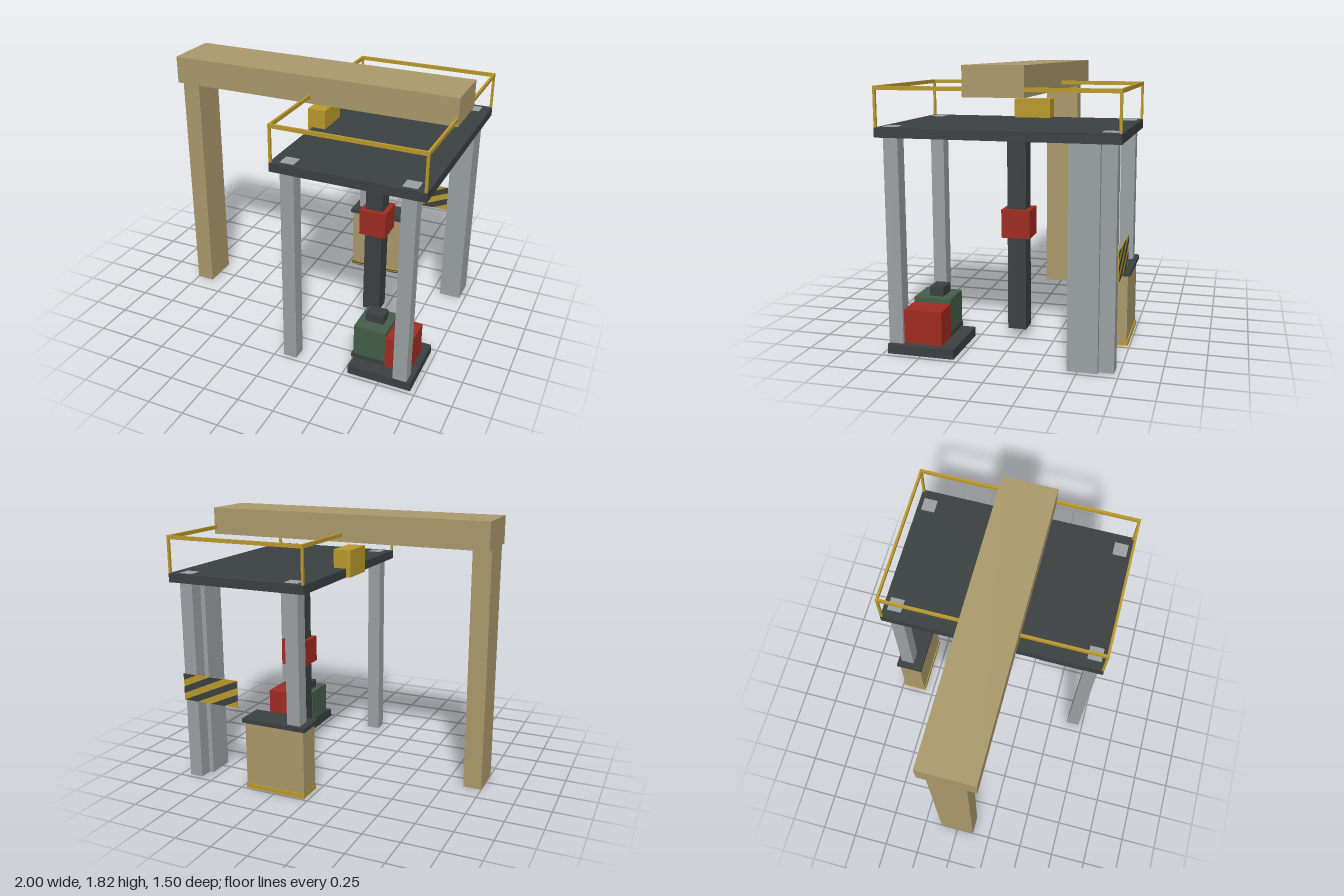
import * as THREE from 'three';

const paint = (name, color) => {
  const m = new THREE.MeshStandardMaterial({ color });
  m.name = name;
  return m;
};

export function createModel() {
  const group = new THREE.Group();
  const tan = paint('tan', 0xab9a6c);
  const dark = paint('charcoal', 0x3b4041);
  const grey = paint('steel grey', 0x9ba1a3);
  const yellow = paint('safety yellow', 0xbb9a2c);
  const red = paint('red', 0xa02c22);
  const green = paint('green', 0x445e49);

  // Box given by its extents along each axis
  const box = (name, mat, [x0, x1], [y0, y1], [z0, z1]) => {
    const mesh = new THREE.Mesh(new THREE.BoxGeometry(x1 - x0, y1 - y0, z1 - z0), mat);
    mesh.position.set((x0 + x1) / 2, (y0 + y1) / 2, (z0 + z1) / 2);
    mesh.name = name;
    group.add(mesh);
    return mesh;
  };

  // Diagonal dark bands laid on one w x h face
  const stripes = (name, w, h, position, rx = 0, ry = 0) => {
    const at = (u, v) => new THREE.Vector2((u - 0.5) * w, (v - 0.5) * h);
    const shapes = [-1, -0.5, 0, 0.5].map((a) => {
      const b = a + 0.25;
      const low = (c) => at(Math.max(c, 0), Math.max(-c, 0));
      const high = (c) => at(Math.min(1, 1 + c), Math.min(1, 1 - c));
      const pts = [low(a), low(b), high(b), high(a)];
      return new THREE.Shape(pts.filter((p, i) => !pts.slice(0, i).some((q) => q.equals(p))));
    });
    const mesh = new THREE.Mesh(new THREE.ShapeGeometry(shapes), dark);
    mesh.position.set(...position);
    mesh.rotation.set(rx, ry, 0);
    mesh.name = name;
    group.add(mesh);
  };

  // Overhead beam and its column
  box('beam', tan, [-1, 1], [1.63, 1.815], [-0.187, 0.187]);
  box('beamColumn', tan, [-1, -0.875], [0, 1.63], [-0.125, 0.125]);

  // Platform on four legs, leg tops flush with the deck
  box('platform', dark, [0, 1], [1.38, 1.44], [-0.75, 0.75]);
  for (const x of [0.06, 0.842]) {
    for (const z of [-0.72, 0.627]) {
      box('platformLeg', grey, [x, x + 0.094], [0, 1.442], [z, z + 0.094]);
    }
  }

  // Guard rail
  const t = 0.016;
  for (const x of [0.001, 0.999 - t]) {
    box('sideRail', yellow, [x, x + t], [1.665, 1.69], [-0.75, 0.75]);
    for (const z of [-0.75, 0.75 - t]) box('railPost', yellow, [x, x + t], [1.44, 1.665], [z, z + t]);
  }
  for (const z of [-0.75, 0.75 - t]) {
    box('longRail', yellow, [0.001 + t, 0.999 - t], [1.665, 1.69], [z, z + t]);
  }

  // Trolley box, central mast with its collar, and duct
  box('trolley', yellow, [-0.032, 0.093], [1.381, 1.567], [-0.125, 0.125]);
  box('mast', dark, [0.373, 0.497], [0.063, 1.38], [-0.062, 0.062]);
  box('mastCollar', red, [0.343, 0.53], [0.69, 0.877], [-0.095, 0.095]);
  box('duct', grey, [0.81, 0.963], [0, 1.38], [-0.625, -0.437]);

  // Pump set on a base slab
  box('pumpBase', dark, [0.53, 0.965], [0, 0.062], [0.283, 0.722]);
  box('pumpSkid', dark, [0.515, 0.75], [0.062, 0.094], [0.376, 0.624]);
  box('pumpBody', green, [0.53, 0.75], [0.094, 0.315], [0.376, 0.624]);
  box('pumpCap', dark, [0.575, 0.7], [0.315, 0.376], [0.44, 0.535]);
  box('motor', red, [0.75, 0.92], [0.062, 0.283], [0.375, 0.625]);

  // Cabinet with lid and striped plinth
  box('cabinet', tan, [0.032, 0.465], [0.03, 0.472], [-0.73, -0.57]);
  box('cabinetLid', dark, [0.015, 0.48], [0.472, 0.5], [-0.747, -0.555]);
  box('cabinetPlinth', yellow, [0.03, 0.467], [0.001, 0.032], [-0.738, -0.562]);
  stripes('plinthFrontStripes', 0.437, 0.031, [0.2485, 0.0165, -0.561]);
  stripes('plinthBottomStripes', 0.437, 0.176, [0.2485, 0, -0.65], Math.PI / 2);

  // Hazard board, striped on both sides
  box('hazardBoard', yellow, [0.515, 0.937], [0.565, 0.753], [-0.736, -0.73]);
  stripes('boardFrontStripes', 0.422, 0.188, [0.726, 0.659, -0.7285]);
  stripes('boardBackStripes', 0.422, 0.188, [0.726, 0.659, -0.7375], 0, Math.PI);

  return group;
}
